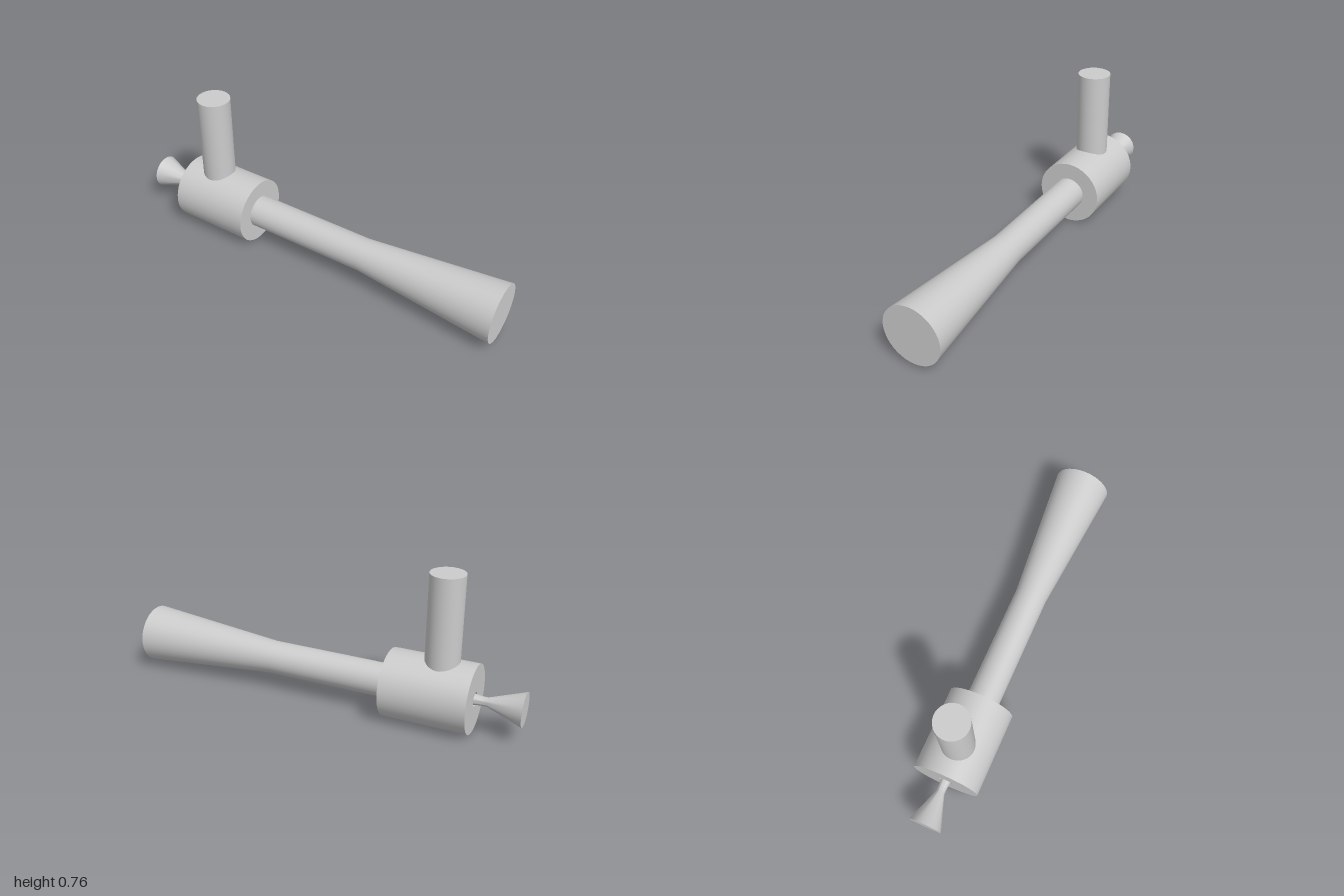
import * as THREE from 'three';
import { toCreasedNormals } from 'three/addons/utils/BufferGeometryUtils.js';

const AXIS_Y = 0.168;
const SEGMENTS = 40;

// Turned solid from [position along axis, radius] pairs; smooth sides, sharp rims
function turned(name, profile) {
  const points = profile.map(([along, radius]) => new THREE.Vector2(radius, along));
  const geometry = toCreasedNormals(new THREE.LatheGeometry(points, SEGMENTS), Math.PI / 6);
  const material = new THREE.MeshStandardMaterial({ color: 0xcccccc, side: THREE.DoubleSide });
  const mesh = new THREE.Mesh(geometry, material);
  mesh.name = name;
  return mesh;
}

export function createModel() {
  const model = new THREE.Group();
  model.name = 'ejector';

  // Everything on the horizontal axis, laid along x
  const body = new THREE.Group();
  body.name = 'horizontalBody';
  body.rotation.z = -Math.PI / 2;
  body.position.y = AXIS_Y;

  // Chamber, with a small opening around the nozzle
  body.add(turned('mixingChamber', [
    [-0.72, 0.035], [-0.77, 0.035], [-0.77, 0.168], [-0.35, 0.168], [-0.35, 0],
  ]));

  // Converging-diverging inlet nozzle reaching into the chamber
  body.add(turned('inletNozzle', [
    [-1, 0], [-1, 0.083], [-0.83, 0.022], [-0.8, 0.022], [-0.7, 0.034], [-0.7, 0],
  ]));

  // Straight throat widening into the outlet cone
  body.add(turned('diffuser', [
    [-0.36, 0], [-0.36, 0.083], [0.28, 0.083], [1, 0.147], [1, 0],
  ]));
  model.add(body);

  // Upright suction pipe
  const pipe = turned('suctionPipe', [[0.25, 0], [0.25, 0.083], [0.758, 0.083], [0.758, 0]]);
  pipe.position.x = -0.605;
  model.add(pipe);

  return model;
}
